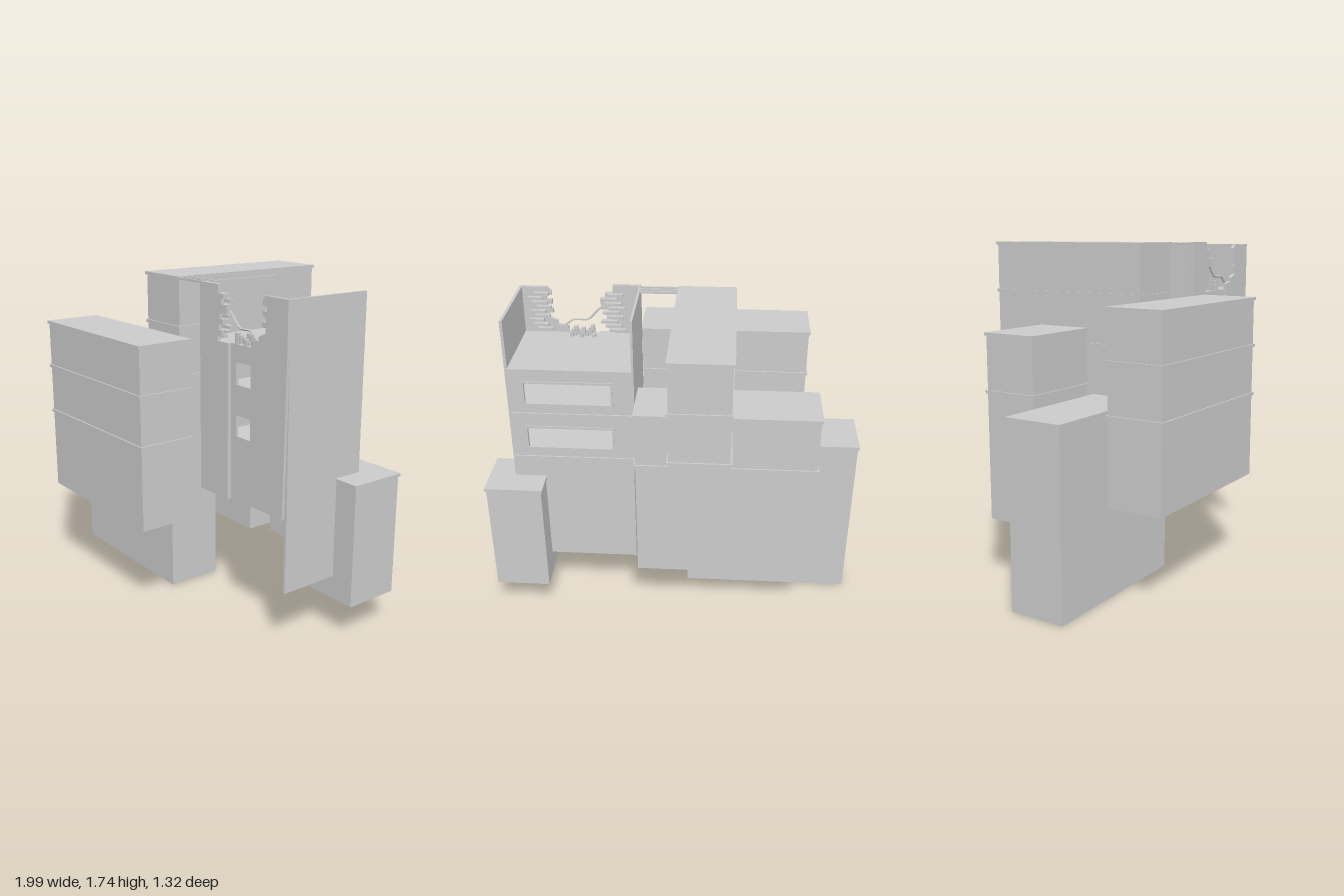
import * as THREE from 'three';

const material = new THREE.MeshStandardMaterial({ color: 0xcccccc, flatShading: true });
const thinMaterial = new THREE.MeshStandardMaterial({ color: 0xcccccc, flatShading: true, side: THREE.DoubleSide });

// box given by its two corners
function box(name, x0, x1, y0, y1, z0, z1) {
  const mesh = new THREE.Mesh(new THREE.BoxGeometry(x1 - x0, y1 - y0, z1 - z0), material);
  mesh.position.set((x0 + x1) / 2, (y0 + y1) / 2, (z0 + z1) / 2);
  mesh.name = name;
  return mesh;
}

// plain building block with thin overhanging ledges at the given top heights
function building(name, x0, x1, y0, y1, z0, z1, ledges) {
  const g = new THREE.Group();
  g.name = name;
  g.add(box('walls', x0, x1, y0, y1 - 0.01, z0, z1));
  const o = 0.008;
  for (const y of ledges) g.add(box('ledge', x0 - o, x1 + o, y - 0.016, y, z0 - o, z1 + o));
  return g;
}

// upright slab cut from an outline, with optional rectangular openings [x0, x1, y0, y1]
function slab(name, points, z0, z1, openings = []) {
  const shape = new THREE.Shape(points.map(([x, y]) => new THREE.Vector2(x, y)));
  for (const [a, b, c, d] of openings) {
    shape.holes.push(new THREE.Path([[a, c], [a, d], [b, d], [b, c]].map(([x, y]) => new THREE.Vector2(x, y))));
  }
  const geo = new THREE.ExtrudeGeometry(shape, { depth: z1 - z0, bevelEnabled: false });
  const mesh = new THREE.Mesh(geo, material);
  mesh.position.z = z0;
  mesh.name = name;
  return mesh;
}

function rect(x0, x1, y0, y1) {
  return [[x0, y0], [x1, y0], [x1, y1], [x0, y1]];
}

// stepped broken edge running between two points, one brick course at a time
function brokenEdge(xa, ya, xb, yb, courses) {
  const pts = [];
  for (let i = 0; i < courses; i++) {
    const x = xa + (xb - xa) * (i + 0.5) / courses + (i % 2 ? 0.014 : -0.014);
    pts.push([x, ya + (yb - ya) * i / courses], [x, ya + (yb - ya) * (i + 1) / courses]);
  }
  return pts;
}

export function createModel() {
  const model = new THREE.Group();
  model.name = 'cityBlock';

  // intact buildings
  model.add(building('frontBuilding', -0.71, 0.207, 0.51, 1.46, 0.357, 0.65, [0.957, 1.215, 1.46]));
  model.add(building('lowBuilding', -0.99, -0.07, 0, 0.957, -0.012, 0.288, [0.957]));
  model.add(building('tallBuilding', -0.297, -0.003, 0.78, 1.74, -0.652, 0.268, [1.225, 1.485, 1.74]));
  model.add(building('backBuilding', -0.742, 0.187, 0.34, 1.303, -0.352, -0.06, [1.012, 1.303]));

  // annex, open underneath
  const annex = building('annex', 0.693, 0.985, 0.19, 0.828, -0.343, -0.048, [0.828]);
  const walls = annex.children[0].geometry;
  const index = Array.from(walls.index.array);
  index.splice(18, 6);
  walls.setIndex(index);
  walls.clearGroups();
  model.add(annex);

  // ruined building
  const ruin = new THREE.Group();
  ruin.name = 'ruinedBuilding';
  model.add(ruin);
  ruin.add(box('outerSideWall', 0.84, 0.855, 0.31, 1.72, -0.2, 0.272));
  ruin.add(box('innerSideWall', 0.2, 0.212, 0.95, 1.735, -0.2, 0.272));
  for (const y of [0.955, 1.215, 1.465]) {
    ruin.add(box('floor', 0.21, 0.842, y - 0.018, y, -0.198, 0.268));
    ruin.add(box('backLedge', 0.205, 0.85, y - 0.016, y, -0.208, -0.195));
  }
  const backWindows = [[0.32, 0.765, 1.01, 1.125], [0.32, 0.765, 1.27, 1.385]];
  ruin.add(slab('backWall', rect(0.21, 0.842, 0.31, 1.46), -0.2, -0.185, backWindows));
  const frontWindows = [[0.47, 0.588, 1.008, 1.115], [0.47, 0.588, 1.267, 1.377]];
  ruin.add(slab('windowWall', rect(0.425, 0.61, 0.935, 1.465), 0.255, 0.27, frontWindows));

  // window frames on the back
  for (const [a, b, c, d] of backWindows) {
    const f = 0.012;
    const frame = slab('windowFrame', rect(a - f, b + f, c - f, d + f), -0.206, -0.198, [[a, b, c, d]]);
    ruin.add(frame);
  }

  // front piers with broken tops
  ruin.add(slab('innerPier', [
    [0.207, 0.67], [0.432, 0.67], [0.432, 1.465], [0.36, 1.465],
    ...brokenEdge(0.36, 1.465, 0.38, 1.6, 5), [0.42, 1.6], [0.42, 1.645],
    ...brokenEdge(0.4, 1.645, 0.36, 1.72, 3), [0.352, 1.738], [0.207, 1.738],
  ], 0.268, 0.29));
  ruin.add(slab('outerPier', [
    [0.602, 0.688], [0.84, 0.688], [0.855, 1.47], [0.855, 1.72], [0.705, 1.72],
    ...brokenEdge(0.7, 1.7, 0.69, 1.55, 6), [0.66, 1.53], [0.66, 1.51], [0.602, 1.5],
  ], 0.268, 0.288));

  // loose bricks along the broken edges
  for (let i = 0; i < 9; i++) {
    const y = 1.48 + i * 0.025;
    const s = (i * 37 % 5) * 0.011;
    ruin.add(box('brick', 0.285 + s, 0.375 + s, y, y + 0.014, 0.245, 0.272));
    ruin.add(box('brick', 0.685 + s, 0.765 + s, y, y + 0.014, 0.245, 0.272));
  }

  // rubble on the roof
  for (let i = 0; i < 12; i++) {
    const x = 0.445 + (i * 7 % 12) * 0.011;
    const h = 0.02 + (i * 5 % 4) * 0.011;
    const z = 0.2 + (i * 5 % 6) * 0.009;
    ruin.add(box('rubble', x, x + 0.02, 1.463, 1.463 + h, z, z + 0.022));
  }

  // bent rail hanging between the broken piers
  const path = new THREE.CatmullRomCurve3([
    [0.4, 1.625], [0.44, 1.595], [0.49, 1.545], [0.57, 1.54], [0.62, 1.505],
  ].map(([x, y]) => new THREE.Vector3(x, y, 0.265)));
  const rail = new THREE.Mesh(new THREE.TubeGeometry(path, 16, 0.006, 5), thinMaterial);
  rail.name = 'bentRail';
  ruin.add(rail);

  // beams bridging to the tall building
  for (const z of [0.203, 0.235, 0.268]) {
    model.add(box('bridgeBeam', -0.002, 0.205, 1.724, 1.736, z - 0.005, z + 0.005));
  }
  return model;
}
